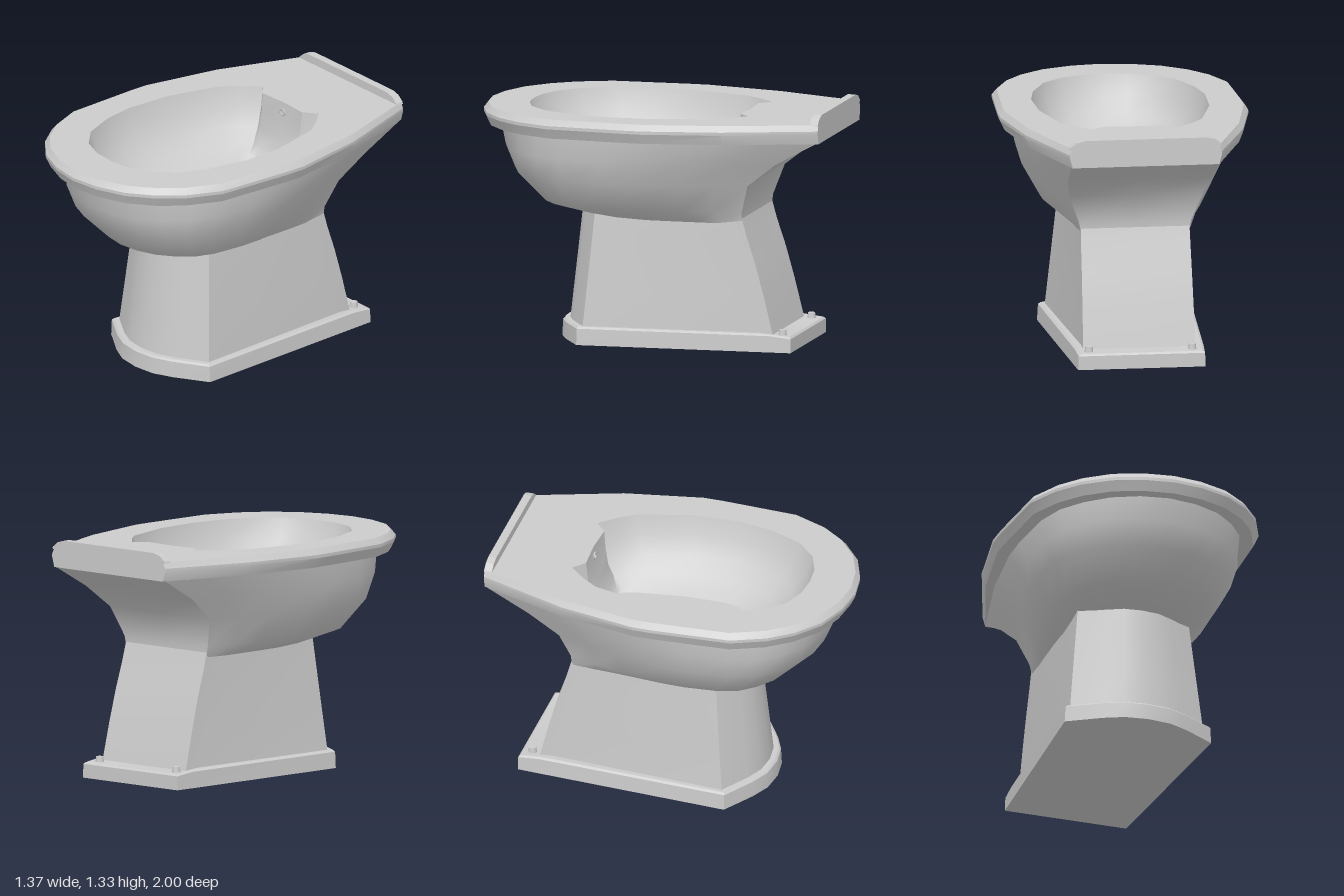
import * as THREE from 'three';
import { toCreasedNormals } from 'three/addons/utils/BufferGeometryUtils.js';

const material = new THREE.MeshStandardMaterial({ color: 0xcccccc });

// Half outlines [x, z] from the back centre, along the left side, to the front centre
const RIM = [[0, -1], [.42, -1], [.51, -.75], [.6, -.5], [.685, -.07], [.685, .04],
  [.662, .48], [.58, .67], [.48, .8], [.34, .91], [.17, .975], [0, .998]];
const HOLE = [[0, -.5], [.17, -.49], [.24, -.55], [.325, -.46], [.39, -.37], [.47, -.07],
  [.48, .2], [.447, .38], [.365, .57], [.25, .68], [.12, .728], [0, .738]];
const FLOOR = [[0, -.41], [.127, -.395], [.145, -.36], [.16, -.3], [.18, -.18], [.2, -.03],
  [.2, .1], [.2, .2], [.175, .28], [.13, .325], [.07, .352], [0, .36]];
const BOWL = [[0, -1], [.41, -1], [.47, -.75], [.53, -.5], [.585, -.1], [.59, .1],
  [.57, .4], [.52, .57], [.43, .7], [.31, .81], [.16, .88], [0, .905]];

// Complete a half outline by mirroring it across x = 0
const mirror = (half) => [...half, ...half.slice(1, -1).reverse().map(([x, z]) => [-x, z])];
const ring = (y, half) => mirror(half).map(([x, z]) => [x, y, z]);
const shapePoints = (half) => mirror(half).map(([x, z]) => new THREE.Vector2(x, -z));
const flat = (shape) => new THREE.ShapeGeometry(shape).rotateX(-Math.PI / 2);

// Skin through rings of equal point count, with optional end caps
function loft(rings, crease, capped = false) {
  const n = rings[0].length;
  const pos = rings.flat(2);
  const index = [];
  for (let i = 0; i < rings.length - 1; i++) {
    for (let j = 0; j < n; j++) {
      const a = i * n + j, b = i * n + (j + 1) % n;
      index.push(a, a + n, b, b, a + n, b + n);
    }
  }
  const cap = (r, up) => {
    const m = pos.length / 3;
    pos.push(0, rings[r][2][1], 0);
    for (let j = 0; j < n; j++) {
      const a = r * n + j, b = r * n + (j + 1) % n;
      index.push(m, up ? b : a, up ? a : b);
    }
  };
  if (capped) {
    cap(0, false);
    cap(rings.length - 1, true);
  }
  const g = new THREE.BufferGeometry();
  g.setAttribute('position', new THREE.Float32BufferAttribute(pos, 3));
  g.setIndex(index);
  return toCreasedNormals(g, crease);
}

// Outer bowl section: fits the BOWL outline to a new back, corner width, width and front
function bowlRing(y, back, corner, width, front) {
  return ring(y, BOWL.map(([x, z], i) => [
    i > 0 && i < 6 ? corner + (width - corner) * (x - .41) / .18 : x * width / .59,
    back + (z + 1) / 1.905 * (front - back),
  ]));
}

// Foot section: sides narrowing to the back, with a chamfered, bowed front
function footRing(y, w, backW, back, corner, front) {
  const d = front - corner;
  const midW = backW + (w - backW) * .1;
  const midZ = back + (corner - back) * .1;
  return ring(y, [[0, back], [backW, back], [midW, midZ], [w, corner],
    [.57 * w, corner + .63 * d], [.31 * w, corner + .91 * d], [0, front]]);
}

export function createModel() {
  const model = new THREE.Group();
  const add = (name, geometry, x = 0, y = 0, z = 0) => {
    const mesh = new THREE.Mesh(geometry, material);
    mesh.name = name;
    mesh.position.set(x, y, z);
    model.add(mesh);
    return mesh;
  };

  // Base plate, its top falling away slightly behind the pedestal
  const slopeBack = (points) => points.map(([x, y, z]) => [x, z < -.8 ? y - .013 : y, z]);
  add('basePlate', loft([
    footRing(0, .425, .352, -.825, .375, .555),
    slopeBack(footRing(.09, .42, .349, -.825, .375, .55)),
    slopeBack(footRing(.1, .408, .337, -.815, .37, .538)),
  ], .4, true));

  // Pedestal
  add('pedestal', loft([
    footRing(.09, .386, .31, -.712, .351, .511),
    footRing(.3, .365, .307, -.66, .333, .488),
    footRing(.48, .347, .304, -.61, .318, .468),
    footRing(.63, .332, .302, -.56, .306, .452),
    footRing(.74, .321, .3, -.53, .297, .44),
  ], .5));

  // Floor bolts
  for (const s of [-1, 1]) {
    add('floorBolt', new THREE.CylinderGeometry(.02, .024, .03, 12), s * .285, .103, -.762);
  }

  // Outer bowl
  const bowlTop = bowlRing(1.18, -.985, .41, .59, .905);
  add('outerBowl', loft([
    bowlRing(.695, -.533, .297, .318, .4),
    bowlRing(.76, -.535, .31, .44, .66),
    bowlRing(.92, -.585, .37, .53, .82),
    bowlRing(1.05, -.75, .4, .572, .875),
    bowlTop,
  ], .85));

  // Rim edge and underside
  const inset = RIM.map(([x, z]) => [x * .963, z > 0 ? z * .975 : z]);
  add('rimEdge', loft([bowlTop, ring(1.18, inset), ring(1.235, RIM), ring(1.253, RIM),
    ring(1.286, inset)], .4));

  // Flat rim top with the bowl opening
  const rimShape = new THREE.Shape(shapePoints(inset));
  rimShape.holes.push(new THREE.Path(shapePoints(HOLE)));
  add('rimTop', flat(rimShape), 0, 1.286, 0);

  // Inner bowl, curving from the opening down to the water
  const blend = (t) => HOLE.map(([x, z], i) =>
    [x + (FLOOR[i][0] - x) * t, z + (FLOOR[i][1] - z) * t]);
  const innerSteps = [[1.286, 0], [1.18, .1], [1.08, .3], [1, .58], [.95, .87], [.93, 1]];
  add('innerBowl', loft(innerSteps.map(([y, t]) => ring(y, blend(t))), .7));
  add('waterSurface', flat(new THREE.Shape(shapePoints(FLOOR))), 0, .93, 0);

  // Drain cover and flush outlet
  const drain = add('drain', new THREE.SphereGeometry(.075, 20, 6, 0, Math.PI * 2, 0, Math.PI / 2),
    0, .93, -.29);
  drain.scale.y = .06;
  add('flushOutlet', new THREE.TorusGeometry(.018, .006, 6, 16), 0, 1.23, -.492);

  // Raised ledge across the back
  const ledge = new THREE.Shape([[-.42, 1.28], [.42, 1.28], [.415, 1.292], [.38, 1.32],
    [.335, 1.332], [-.335, 1.332], [-.38, 1.32], [-.415, 1.292]]
    .map(([x, y]) => new THREE.Vector2(x, y)));
  add('backLedge', new THREE.ExtrudeGeometry(ledge, { depth: .045, bevelEnabled: false }), 0, 0, -1);

  return model;
}
